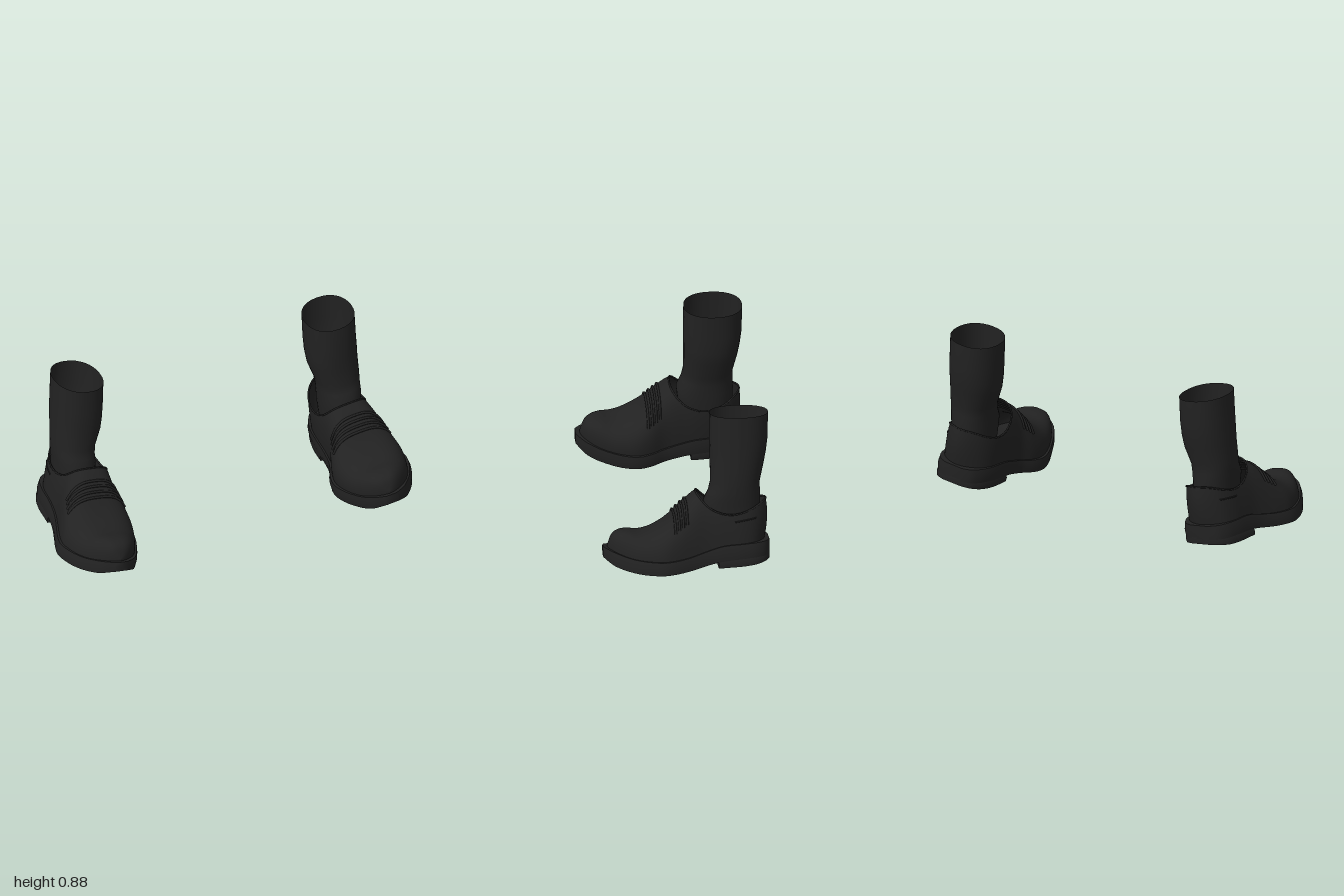
import * as THREE from 'three';
import { toCreasedNormals } from 'three/addons/utils/BufferGeometryUtils.js';

// smooth curve through [z, value] pairs
function curve(pairs) {
  const f = new THREE.CubicInterpolant(pairs.map(p => p[0]), pairs.map(p => p[1]), 1);
  return t => f.evaluate(t)[0];
}

// sole plan: outer and inner edge along the length
const zs = [-0.435, -0.42, -0.38, -0.3, -0.2, -0.1, -0.02, 0.05, 0.12, 0.2, 0.28, 0.35, 0.4, 0.435];
const along = values => curve(values.map((v, i) => [zs[i], v]));
const outer = along([0.06, 0.095, 0.13, 0.152, 0.158, 0.165, 0.185, 0.208, 0.222, 0.204, 0.17, 0.125, 0.085, 0.035]);
const inner = along([-0.05, -0.085, -0.12, -0.15, -0.16, -0.158, -0.165, -0.195, -0.208, -0.19, -0.155, -0.118, -0.08, -0.03]);
// side profiles
const soleTop = curve([[-0.435, 0.142], [-0.3, 0.138], [-0.18, 0.13], [-0.1, 0.108], [0, 0.082], [0.15, 0.07], [0.3, 0.083], [0.435, 0.122]]);
const soleBottom = curve([[-0.435, 0.065], [-0.3, 0.06], [-0.17, 0.048], [0, 0.012], [0.15, 0], [0.28, 0.008], [0.38, 0.033], [0.435, 0.066]]);
const heelBottom = curve([[-0.435, 0.04], [-0.36, 0.025], [-0.16, 0.014]]);
const crown = curve([[-0.43, 0.5], [-0.3, 0.47], [-0.15, 0.43], [-0.055, 0.4], [0, 0.355], [0.05, 0.305], [0.1, 0.257],
  [0.15, 0.224], [0.2, 0.203], [0.25, 0.196], [0.31, 0.204], [0.36, 0.198], [0.39, 0.175], [0.412, 0.125]]);
const collar = curve([[-0.43, 0.355], [-0.4, 0.348], [-0.32, 0.312], [-0.24, 0.295], [-0.17, 0.307], [-0.11, 0.34], [-0.055, 0.4]]);

const COLLAR_FRONT = -0.055, HEEL_END = -0.412, TOE_END = 0.412;

// surface through rows of equal point counts
function skin(rows, crease) {
  const n = rows[0].length, index = [];
  for (let i = 0; i < rows.length - 1; i++)
    for (let j = 0; j < n - 1; j++) {
      const a = i * n + j, b = a + n;
      index.push(a, a + 1, b, b, a + 1, b + 1);
    }
  const g = new THREE.BufferGeometry();
  g.setAttribute('position', new THREE.Float32BufferAttribute(rows.flat(2), 3));
  g.setIndex(index);
  g.computeVertexNormals();
  return crease ? toCreasedNormals(g, crease) : g;
}

// solid slab following the sole plan between two heights
function slab(z0, z1, bottom, top) {
  const rows = [];
  const N = 44;
  for (let i = 0; i <= N; i++) {
    const z = (z0 + z1) / 2 - Math.cos(Math.PI * i / N) * (z1 - z0) / 2;
    const l = outer(z), r = inner(z), t = top(z), b = bottom(z), m = (t + b) / 2;
    rows.push([[r, b, z], [l, b, z], [l + 0.004, m, z], [l - 0.004, t, z], [r + 0.004, t, z], [r - 0.004, m, z], [r, b, z]]);
  }
  const cap = (row, z) => row.map(() => [(row[0][0] + row[1][0]) / 2, (row[0][1] + row[3][1]) / 2, z]);
  rows.unshift(cap(rows[0], z0));
  rows.push(cap(rows[rows.length - 1], z1));
  return skin(rows, 0.7);
}

// point on the upper at length z, arch angle s, side +1 outer / -1 inner
function upperPoint(z, s, side, lift = 0) {
  const k = z < 0 ? z / HEEL_END : z / TOE_END;
  const end = Math.sqrt(Math.max(0, 1 - Math.pow(Math.min(1, k), 10)));
  const c = (outer(z) + inner(z)) / 2, w = (outer(z) - inner(z)) / 2 * 0.92 * end;
  const base = soleTop(z) - 0.012, t = Math.pow(Math.sin(s), 0.8);
  const bulge = z < 0 ? -0.018 * Math.sin(Math.PI * Math.min(1, t * 1.3)) * k ** 8 : 0;
  return [c + side * w * Math.pow(Math.max(0, Math.cos(s)), 0.7),
    base + (crown(z) - base) * t + lift, z + bulge];
}

// arch angle where the upper stops: centre line in front, collar behind
function topAngle(z) {
  if (z >= COLLAR_FRONT) return Math.PI / 2;
  const base = soleTop(z) - 0.012;
  const t = Math.min(1, (collar(z) - base) / (crown(z) - base));
  return Math.asin(Math.pow(t, 1.25));
}

function upperStations() {
  const list = [];
  for (let i = 0; i <= 30; i++) list.push(HEEL_END + (COLLAR_FRONT - HEEL_END) * (1 - Math.cos(Math.PI * i / 30)) / 2);
  for (let i = 1; i <= 36; i++) list.push(COLLAR_FRONT + (TOE_END - COLLAR_FRONT) * Math.sin(Math.PI / 2 * i / 36));
  return list;
}

function upperHalf(side) {
  return skin(upperStations().map(z => {
    const row = [];
    for (let j = 0; j <= 20; j++) row.push(upperPoint(z, topAngle(z) * j / 20, side));
    return side > 0 ? row : row.reverse();
  }));
}

function tube(points, radius, closed = false) {
  const path = new THREE.CatmullRomCurve3(points.map(p => new THREE.Vector3(...p)), closed);
  return new THREE.TubeGeometry(path, points.length * 2, radius, 6, closed);
}

// sock rings: [height, centre x, centre z, half width, half depth]
const sockRings = [
  [0.2, 0.01, -0.245, 0.1, 0.135], [0.3, 0.018, -0.245, 0.106, 0.145], [0.358, 0.026, -0.243, 0.11, 0.15],
  [0.41, 0.032, -0.255, 0.112, 0.136], [0.456, 0.035, -0.26, 0.116, 0.13], [0.553, 0.029, -0.271, 0.13, 0.141],
  [0.62, 0.032, -0.277, 0.134, 0.148], [0.7, 0.038, -0.281, 0.134, 0.154], [0.832, 0.051, -0.283, 0.133, 0.154]];

function ring([y, x, z, a, b]) {
  const row = [];
  for (let i = 0; i <= 32; i++) {
    const q = i / 32 * Math.PI * 2, c = Math.cos(q), s = Math.sin(q);
    row.push([x + a * Math.sign(c) * Math.abs(c) ** 0.9, y, z + b * Math.sign(s) * Math.abs(s) ** 0.9]);
  }
  return row;
}

function buildShoe(material) {
  const shoe = new THREE.Group();
  const add = (name, geometry) => {
    const mesh = new THREE.Mesh(geometry, material);
    mesh.name = name;
    shoe.add(mesh);
    return mesh;
  };

  add('sole', slab(-0.435, 0.435, soleBottom, soleTop));
  add('heel', slab(-0.435, -0.16, heelBottom, z => soleBottom(z) + 0.01));
  add('upperOuter', upperHalf(1));
  add('upperInner', upperHalf(-1));

  // rolled edge round the ankle opening
  const rim = [];
  for (const side of [1, -1])
    for (let i = 0; i <= 14; i++) {
      const f = side > 0 ? i / 14 : 1 - i / 14;
      if (side < 0 && (i === 0 || i === 14)) continue;
      const z = COLLAR_FRONT + (HEEL_END - COLLAR_FRONT) * (1 - Math.cos(Math.PI * f)) / 2;
      rim.push(upperPoint(z, topAngle(z), side));
    }
  add('collarRim', tube(rim, 0.005, true));

  // laces across the front
  for (let k = 0; k < 4; k++) {
    const z = 0.002 + k * 0.021, points = [];
    for (let j = -6; j <= 6; j++)
      points.push(upperPoint(z, Math.PI / 2 - Math.abs(j) / 6 * 0.95, j < 0 ? -1 : 1, 0.003));
    add('lace', tube(points, 0.007));
  }

  // thin raised seam on the outer quarter
  const seam = [];
  for (let i = 0; i <= 6; i++) seam.push(upperPoint(-0.25 - i * 0.018, 0.32, 1));
  add('sideSeam', tube(seam, 0.004));

  add('sock', skin(sockRings.map(ring)));
  const floor = ring(sockRings[0]);
  add('sockFloor', skin([floor, floor.map(() => [0.01, 0.2, -0.245])]));
  return shoe;
}

export function createModel() {
  const black = new THREE.MeshStandardMaterial({ color: 0x222222, side: THREE.DoubleSide });
  black.name = 'blackLeather';
  const model = new THREE.Group();
  model.name = 'pairOfShoes';
  for (const side of [1, -1]) {
    const holder = new THREE.Group();
    holder.name = side > 0 ? 'leftShoe' : 'rightShoe';
    const shoe = buildShoe(black);
    shoe.position.set(0.782, 0.034, 0);
    shoe.rotation.z = THREE.MathUtils.degToRad(8);
    holder.add(shoe);
    holder.scale.x = side;
    model.add(holder);
  }
  return model;
}
